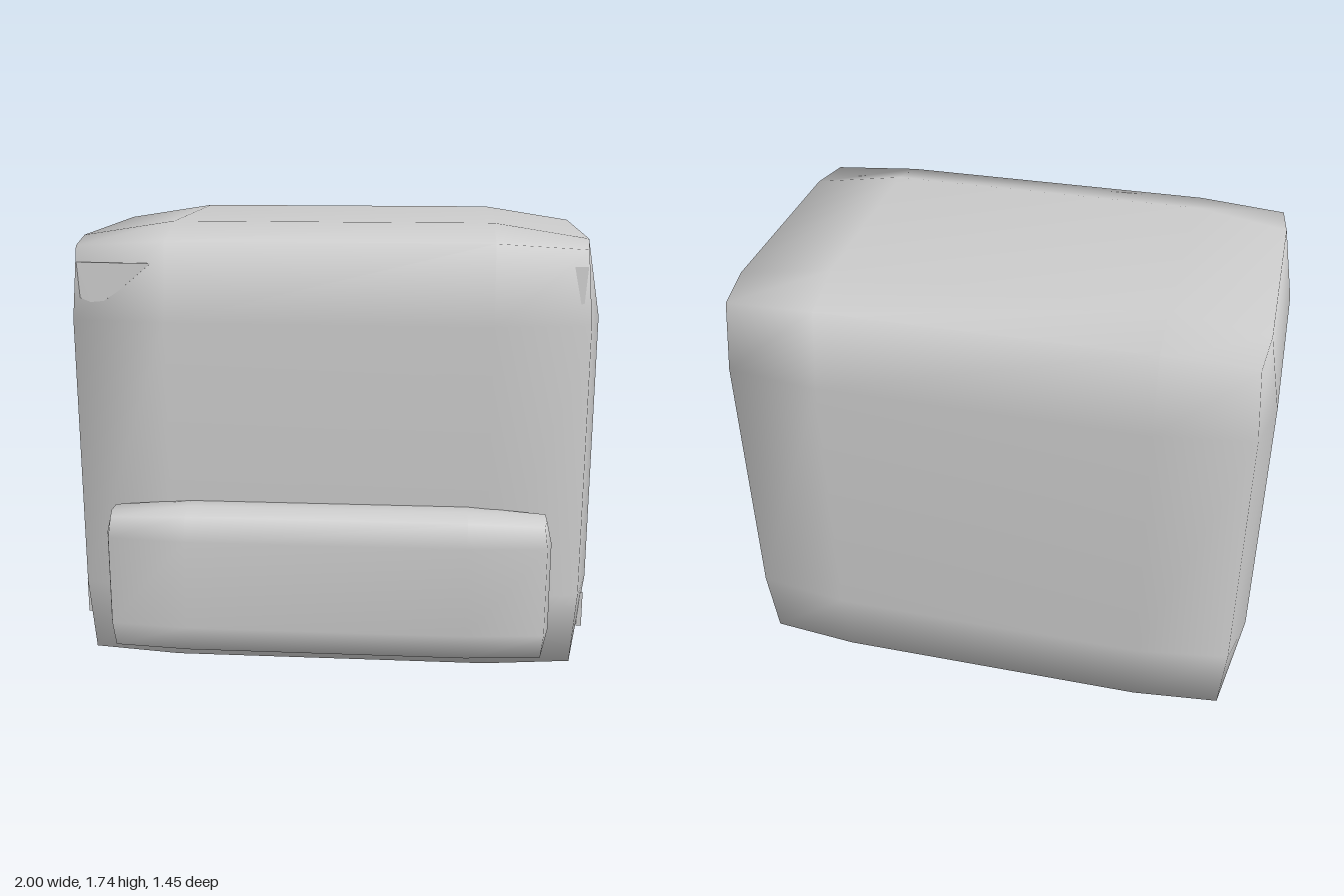
import * as THREE from 'three';
import { mergeVertices } from 'three/addons/utils/BufferGeometryUtils.js';

// Soft box with three segments per side. Each axis lists
// [face, edge, corner, flat start, flat end, corner, edge, face].
function softBox(...axes) {
  const geo = new THREE.BoxGeometry(3, 3, 3, 3, 3, 3);
  geo.deleteAttribute('normal');
  geo.deleteAttribute('uv');
  const merged = mergeVertices(geo);
  const pos = merged.attributes.position;
  for (let v = 0; v < pos.count; v++) {
    const idx = [pos.getX(v), pos.getY(v), pos.getZ(v)].map(c => Math.round(c + 1.5));
    const outer = idx.filter(i => i === 0 || i === 3).length; // 1 face, 2 edge, 3 corner
    const p = idx.map((i, a) => {
      if (i === 0) return axes[a][outer - 1];
      if (i === 3) return axes[a][8 - outer];
      return axes[a][i + 2];
    });
    pos.setXYZ(v, ...p);
  }
  merged.computeVertexNormals();
  return merged;
}

const mirrored = (face, edge, corner, flat) =>
  [-face, -edge, -corner, -flat, flat, corner, edge, face];

export function createModel() {
  const group = new THREE.Group();
  const grey = new THREE.MeshStandardMaterial({ color: 0xcccccc });
  grey.name = 'plainGrey';

  const add = (name, geo) => {
    const mesh = new THREE.Mesh(geo, grey);
    mesh.name = name;
    group.add(mesh);
  };

  // Main rounded block
  add('body', softBox(
    mirrored(1, 0.95, 0.93, 0.6),
    [0, 0.055, 0.07, 0.35, 1.39, 1.66, 1.68, 1.735],
    [-0.72, -0.67, -0.65, -0.47, 0.31, 0.5, 0.515, 0.565]));

  // Wide pad low on the front
  add('frontPad', softBox(
    mirrored(0.83, 0.81, 0.8, 0.52),
    [0.14, 0.16, 0.168, 0.26, 0.6, 0.68, 0.687, 0.71],
    [0.51, 0.535, 0.54, 0.56, 0.63, 0.688, 0.697, 0.725]));

  // Small raised wedges near the upper front corners and lower sides
  const outline = pts => new THREE.Shape(pts.map(p => new THREE.Vector2(...p)));
  for (const s of [-1, 1]) {
    const side = s > 0 ? 'left' : 'right';
    const front = new THREE.ExtrudeGeometry(
      outline([[0.65, 1.6], [0.77, 1.5], [0.83, 1.46], [0.88, 1.455], [0.92, 1.47], [0.93, 1.6]]
        .map(([x, y]) => [s * x, y])), { depth: 0.02, bevelEnabled: false });
    const fp = front.attributes.position;
    for (let i = 0; i < fp.count; i++) {
      const x = Math.abs(fp.getX(i)), y = fp.getY(i);
      fp.setZ(i, fp.getZ(i) + 0.506 - 0.065 * (x - 0.65) + 0.05 * (1.6 - y));
    }
    front.computeVertexNormals();
    add(side + 'FrontWedge', front);

    const flank = new THREE.ExtrudeGeometry(
      outline([[0.41, 0.18], [0.41, 0.32], [0.35, 0.24]].map(([z, y]) => [-s * z, y])),
      { depth: 0.02, bevelEnabled: false });
    flank.rotateY(s * Math.PI / 2);
    flank.translate(s * 0.963, 0, 0);
    add(side + 'SideWedge', flank);
  }
  return group;
}
